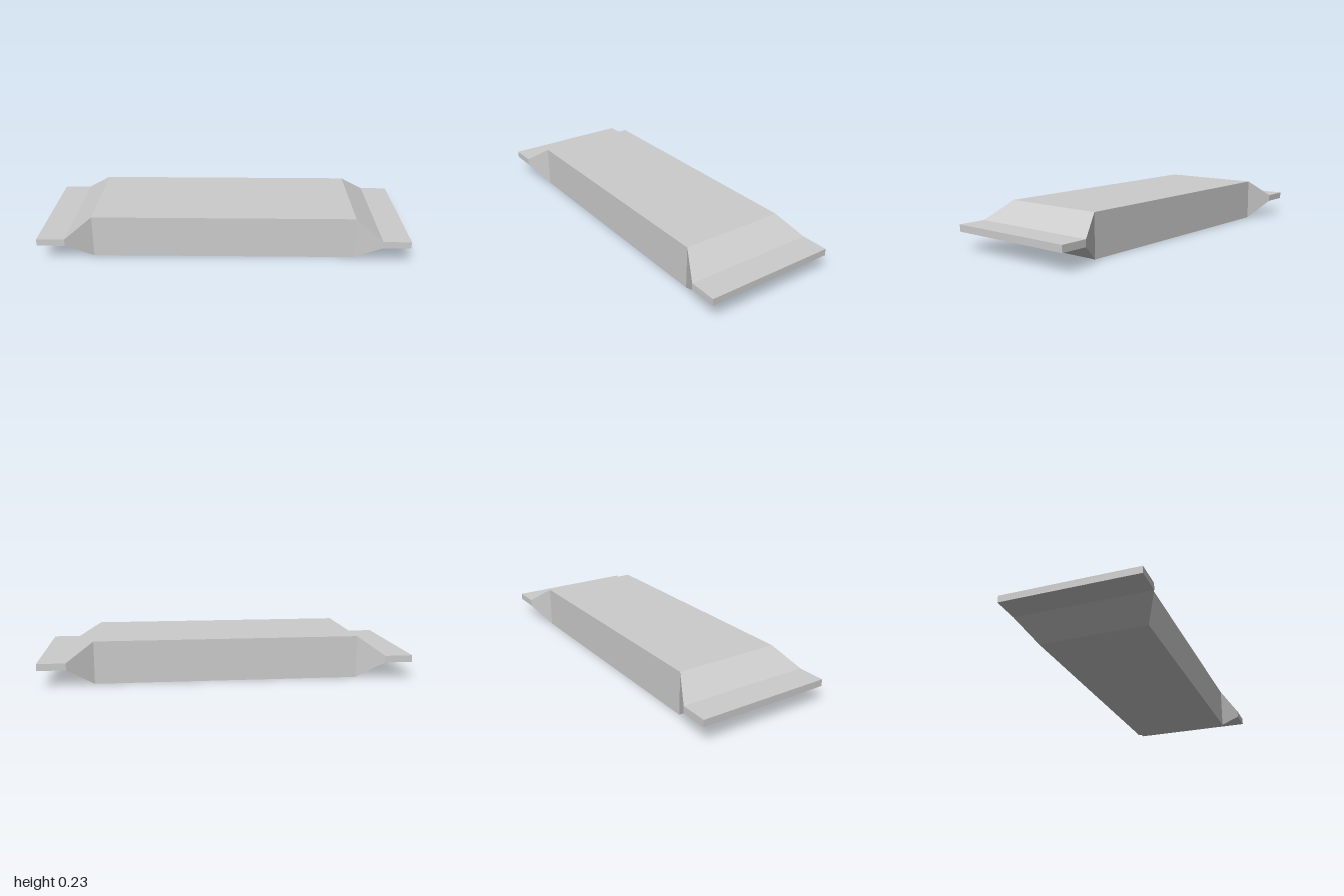
import * as THREE from 'three';

// Cross-sections from end to end: x, half depth, half height
const half = [
  [0.712, 0.29, 0.115],  // end of the full body
  [0.85, 0.366, 0.0185], // end of the tapered shoulder
  [1, 0.366, 0.0185],    // outer edge of the flat seal
];
const sections = [
  ...[...half].reverse().map(([x, d, h]) => [-x, d, h]),
  ...half,
];
const MID_Y = 0.115;

export function createModel() {
  const group = new THREE.Group();
  group.name = 'sealedPacket';

  const wrapperGrey = new THREE.MeshStandardMaterial({ color: 0xcccccc });
  wrapperGrey.name = 'wrapperGrey';

  // A box with one slice per section, each slice scaled to its section
  const spans = sections.length - 1;
  const box = new THREE.BoxGeometry(spans, 2, 2, spans, 1, 1);
  const pos = box.attributes.position;
  for (let i = 0; i < pos.count; i++) {
    const [x, depth, height] = sections[Math.round(pos.getX(i) + spans / 2)];
    pos.setXYZ(i, x, MID_Y + pos.getY(i) * height, pos.getZ(i) * depth);
  }
  const geometry = box.toNonIndexed();
  geometry.computeVertexNormals(); // crisp facets

  const packet = new THREE.Mesh(geometry, wrapperGrey);
  packet.name = 'packetBodyWithSeals';
  group.add(packet);
  return group;
}
